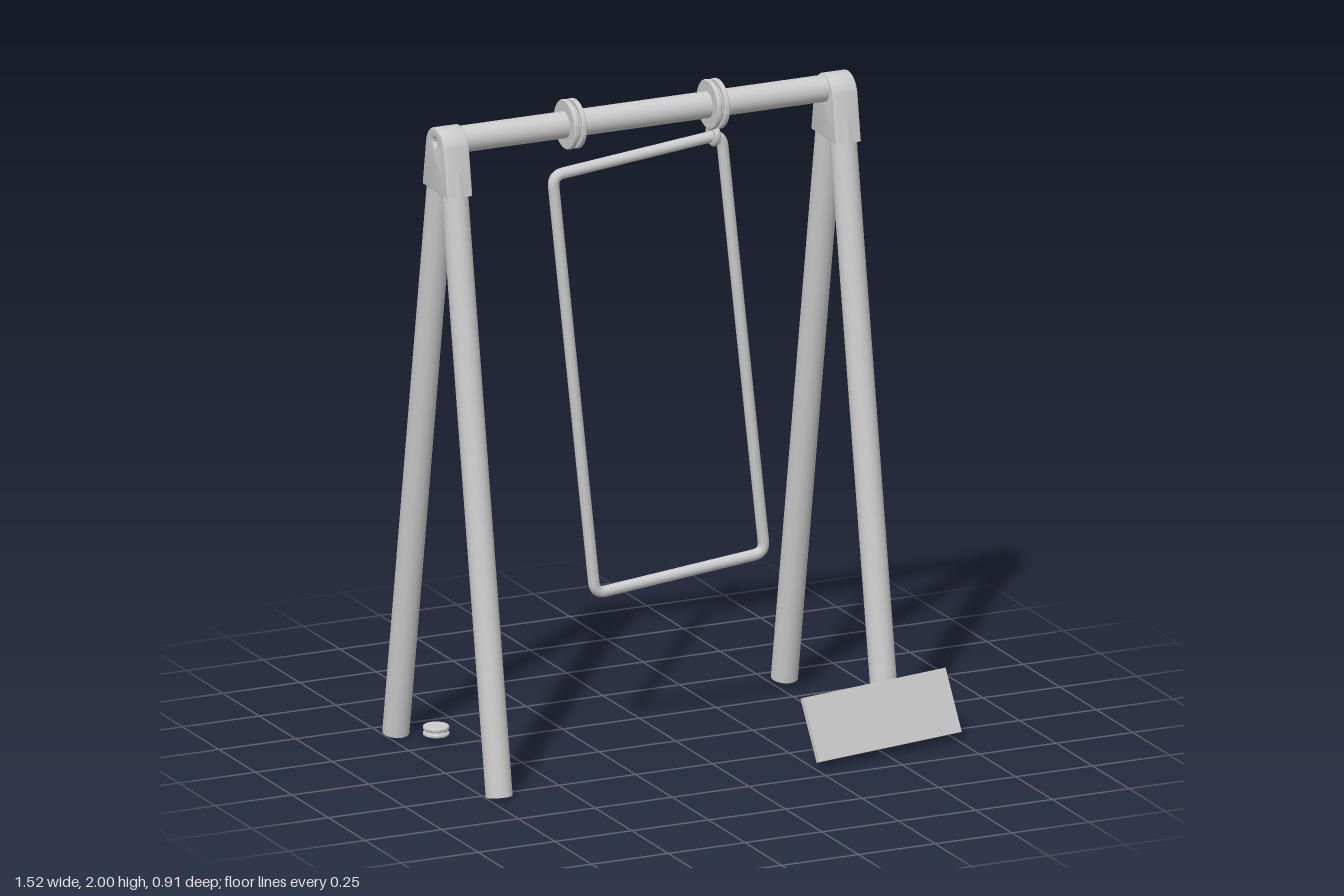
import * as THREE from 'three';
import { toCreasedNormals } from 'three/addons/utils/BufferGeometryUtils.js';

const BAR_Y = 1.925, BAR_Z = -0.06, LEFT = 0.55, RIGHT = -0.715;

export function createModel() {
  const model = new THREE.Group();
  const material = new THREE.MeshStandardMaterial({ color: 0xcccccc });

  function add(name, geometry, x = 0, y = 0, z = 0) {
    const mesh = new THREE.Mesh(geometry, material);
    mesh.name = name;
    mesh.position.set(x, y, z);
    model.add(mesh);
    return mesh;
  }

  // Straight round rod between two points
  function rod(name, a, b, radius, open = false) {
    const dir = b.clone().sub(a);
    const mesh = add(name, new THREE.CylinderGeometry(radius, radius, dir.length(), 40, 1, open));
    mesh.position.copy(a).add(b).multiplyScalar(0.5);
    mesh.quaternion.setFromUnitVectors(new THREE.Vector3(0, 1, 0), dir.normalize());
  }

  // Grooved spool turned around y; hole = 0 makes it solid
  function spool(hole, neck, rim, halfWidth, flange) {
    const g = halfWidth - flange, c = 0.003;
    const points = [
      [hole, -halfWidth], [rim - c, -halfWidth], [rim, -halfWidth + c], [rim, -g - c], [rim - c, -g],
      [neck, -g], [neck, g],
      [rim - c, g], [rim, g + c], [rim, halfWidth - c], [rim - c, halfWidth], [hole, halfWidth],
    ].map(([r, y]) => new THREE.Vector2(r, y));
    return toCreasedNormals(new THREE.LatheGeometry(points, 48), 0.6);
  }

  // Top bracket: tapered block with a round head and a bolt hole
  const bevel = 0.005;
  const outline = new THREE.Shape();
  outline.moveTo(-0.0875, 0);
  outline.lineTo(0.0875, 0);
  outline.absarc(0, 0.13, 0.065, 0.16, Math.PI - 0.16, false);
  outline.closePath();
  const hole = new THREE.Path();
  hole.absarc(0, 0.151, 0.014, 0, Math.PI * 2, true);
  outline.holes.push(hole);
  const bracket = toCreasedNormals(new THREE.ExtrudeGeometry(outline, {
    depth: 0.082 - 2 * bevel, curveSegments: 24,
    bevelThickness: bevel, bevelSize: bevel, bevelOffset: -bevel, bevelSegments: 3,
  }), 0.6).translate(0, 0, -0.041 + bevel).rotateY(Math.PI / 2);

  // A-frame at each end
  for (const [side, x] of [['left', LEFT], ['right', RIGHT]]) {
    add(side + 'Bracket', bracket, x, 1.775, BAR_Z);
    for (const [end, s] of [['Front', 1], ['Back', -1]]) {
      rod(side + end + 'Leg',
        new THREE.Vector3(x, 0.007, BAR_Z + s * 0.354),
        new THREE.Vector3(x, 1.84, BAR_Z + s * 0.038), 0.04);
    }
  }

  // Hollow crossbar
  rod('crossbar', new THREE.Vector3(RIGHT + 0.035, BAR_Y, BAR_Z),
    new THREE.Vector3(LEFT - 0.035, BAR_Y, BAR_Z), 0.04, true);

  // Grooved rings on the crossbar
  const ring = spool(0.038, 0.06, 0.075, 0.02, 0.015).rotateZ(Math.PI / 2);
  add('rightRing', ring, -0.315, BAR_Y, BAR_Z);
  add('leftRing', ring, 0.15, BAR_Y, BAR_Z);

  // Link joining the left ring to the hanging frame
  add('link', new THREE.TorusGeometry(0.027, 0.011, 12, 32).rotateY(Math.PI / 2), 0.15, 1.832, BAR_Z);

  // Hanging frame: closed tube with rounded corners
  const corners = [[-0.373, 1.773], [-0.235, 0.468], [0.317, 0.522], [0.177, 1.828]]
    .map(([x, y]) => new THREE.Vector3(x, y, BAR_Z));
  const path = new THREE.CurvePath();
  const cornerPoint = (i, j) => corners[i].clone().add(
    corners[j].clone().sub(corners[i]).setLength(0.035));
  for (let i = 0; i < 4; i++) {
    const next = (i + 1) % 4, prev = (i + 3) % 4;
    path.add(new THREE.QuadraticBezierCurve3(cornerPoint(i, prev), corners[i], cornerPoint(i, next)));
    path.add(new THREE.LineCurve3(cornerPoint(i, next), cornerPoint(next, i)));
  }
  add('hangingFrame', new THREE.TubeGeometry(path, 400, 0.017, 16, true));

  // Leaning board at the foot of the left front leg
  const board = add('board', new THREE.BoxGeometry(0.516, 0.195, 0.015), 0.497, 0.114, 0.36);
  board.rotation.set(-0.43, 0.18, 0, 'YXZ');

  // Small grooved disc beside the right back leg
  add('disc', spool(0, 0.034, 0.039, 0.015, 0.012), -0.638, 0.035, -0.3);

  return model;
}
